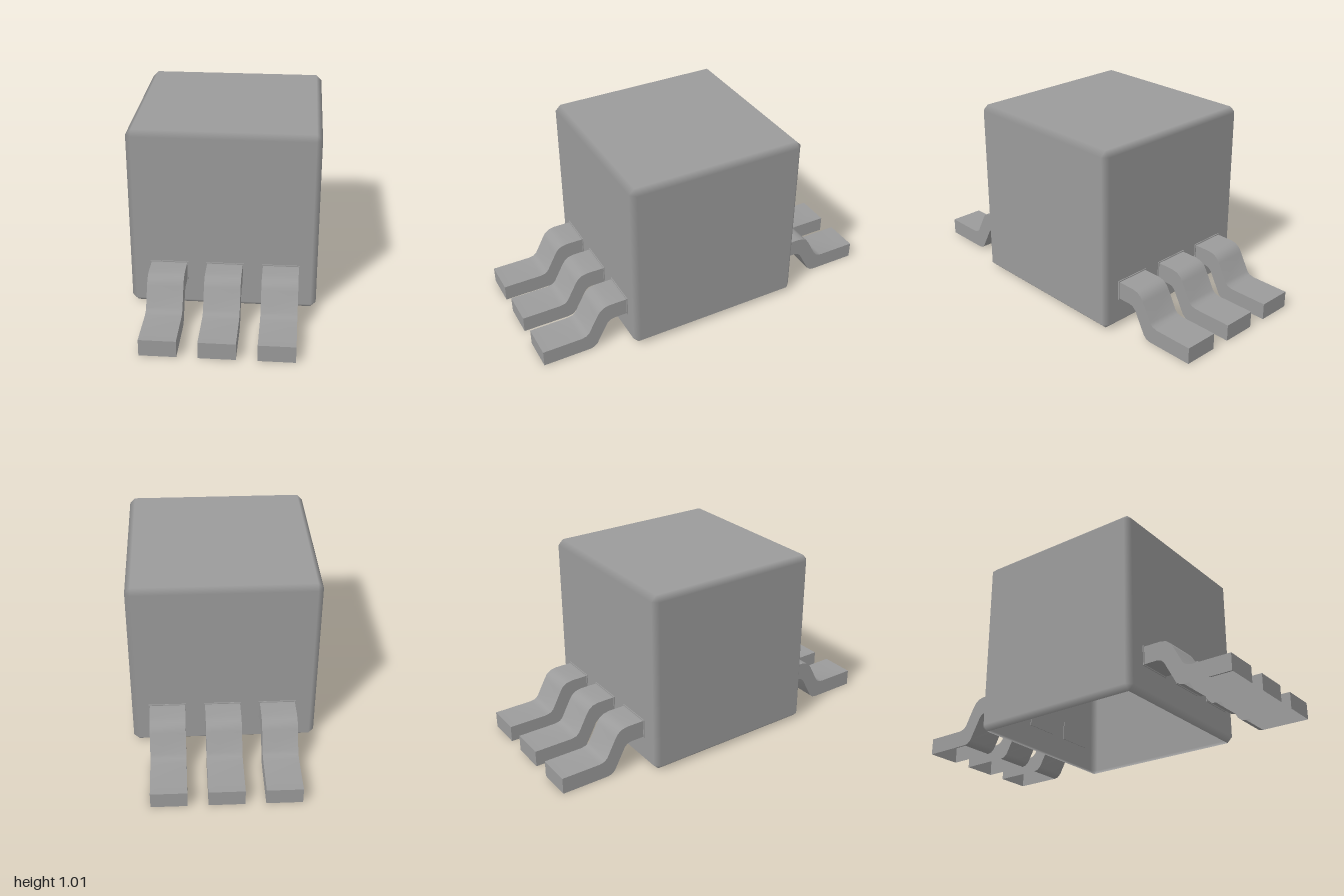
import * as THREE from 'three';
import { toCreasedNormals } from 'three/addons/utils/BufferGeometryUtils.js';

const material = new THREE.MeshStandardMaterial({ color: 0x9b9b9b, side: THREE.DoubleSide });

const HALF = 0.504;   // half width of the housing
const BEVEL = 0.03;
const BOTTOM = 0.002;
const TOP = 1.014;

// Bevelled box, open underneath; each vertex keeps the normal of its main face,
// and the open rim takes the normal of the bevel
function housingGeometry() {
  const inner = HALF - BEVEL;
  // height, outward offset (0 or 1), sideways and upward parts of the normal
  const rings = [[BOTTOM, 0, 0.71, -0.71], [BOTTOM + BEVEL, 1, 1, 0], [TOP - BEVEL, 1, 1, 0], [TOP, 0, 0, 1]];
  const sides = [[1, 0], [0, 1], [-1, 0], [0, -1]];
  const pos = [], nor = [], index = [];
  for (const [y, out, nSide, nUp] of rings) {
    for (const [nx, nz] of sides) {
      for (const s of [-1, 1]) {
        pos.push(nx * (inner + out * BEVEL) - nz * s * inner, y, nz * (inner + out * BEVEL) + nx * s * inner);
        nor.push(nx * nSide, nUp, nz * nSide);
      }
    }
  }
  for (let r = 0; r < 3; r++) {
    for (let i = 0; i < 8; i++) {
      const a = r * 8 + i, b = r * 8 + (i + 1) % 8, c = a + 8, d = b + 8;
      // the end rings have coinciding corner points, so corners are triangles
      const corner = i % 2 === 1;
      if (corner && r === 0) index.push(a, c, d);
      else index.push(a, c, b);
      if (!corner || r === 1) index.push(b, c, d);
    }
  }
  // lid
  index.push(24, 28, 26, 24, 30, 28);
  const g = new THREE.BufferGeometry();
  g.setAttribute('position', new THREE.Float32BufferAttribute(pos, 3));
  g.setAttribute('normal', new THREE.Float32BufferAttribute(nor, 3));
  g.setIndex(index);
  return g;
}

// Bent pin: side profile in (z, y), extruded across x, with an open sole and root
function pinGeometry(width) {
  const upper = [[0.503, 0.265], [0.605, 0.265], [0.64, 0.258], [0.665, 0.24], [0.68, 0.217],
    [0.733, 0.118], [0.75, 0.102], [0.78, 0.095], [1, 0.095]];
  const lower = [[1, 0.003], [0.735, 0.003], [0.71, 0.008], [0.69, 0.025], [0.625, 0.145],
    [0.607, 0.162], [0.585, 0.167], [0.503, 0.167]];
  const shape = new THREE.Shape([...upper, ...lower].map(([z, y]) => new THREE.Vector2(z, y)));
  const solid = new THREE.ExtrudeGeometry(shape, { depth: width, bevelEnabled: false });
  solid.translate(0, 0, -width / 2).rotateY(-Math.PI / 2);
  const p = solid.getAttribute('position');
  const kept = [];
  for (let i = 0; i < p.count; i += 3) {
    const tri = [i, i + 1, i + 2];
    const sole = tri.every(k => p.getY(k) < 0.005);
    const root = tri.every(k => p.getZ(k) < 0.51);
    if (!sole && !root) tri.forEach(k => kept.push(p.getX(k), p.getY(k), p.getZ(k)));
  }
  const g = new THREE.BufferGeometry();
  g.setAttribute('position', new THREE.Float32BufferAttribute(kept, 3));
  return toCreasedNormals(g, 0.7);
}

export function createModel() {
  const model = new THREE.Group();
  model.name = 'sixPinComponent';

  const add = (parent, geometry, name) => {
    const mesh = new THREE.Mesh(geometry, material);
    mesh.name = name;
    parent.add(mesh);
  };

  add(model, housingGeometry(), 'housing');

  // Three pins in front and three behind, each with a thin collar set into the wall
  const pin = pinGeometry(0.192);
  const collar = new THREE.BoxGeometry(0.204, 0.11, 0.009).translate(0, 0.216, 0.5045);
  for (const [side, turn] of [['front', 0], ['back', Math.PI]]) {
    for (const x of [-0.29, 0.01, 0.31]) {
      const group = new THREE.Group();
      group.name = side + 'Pin';
      add(group, pin, 'pin');
      add(group, collar, 'collar');
      group.position.x = x;
      group.rotation.y = turn;
      model.add(group);
    }
  }
  return model;
}
